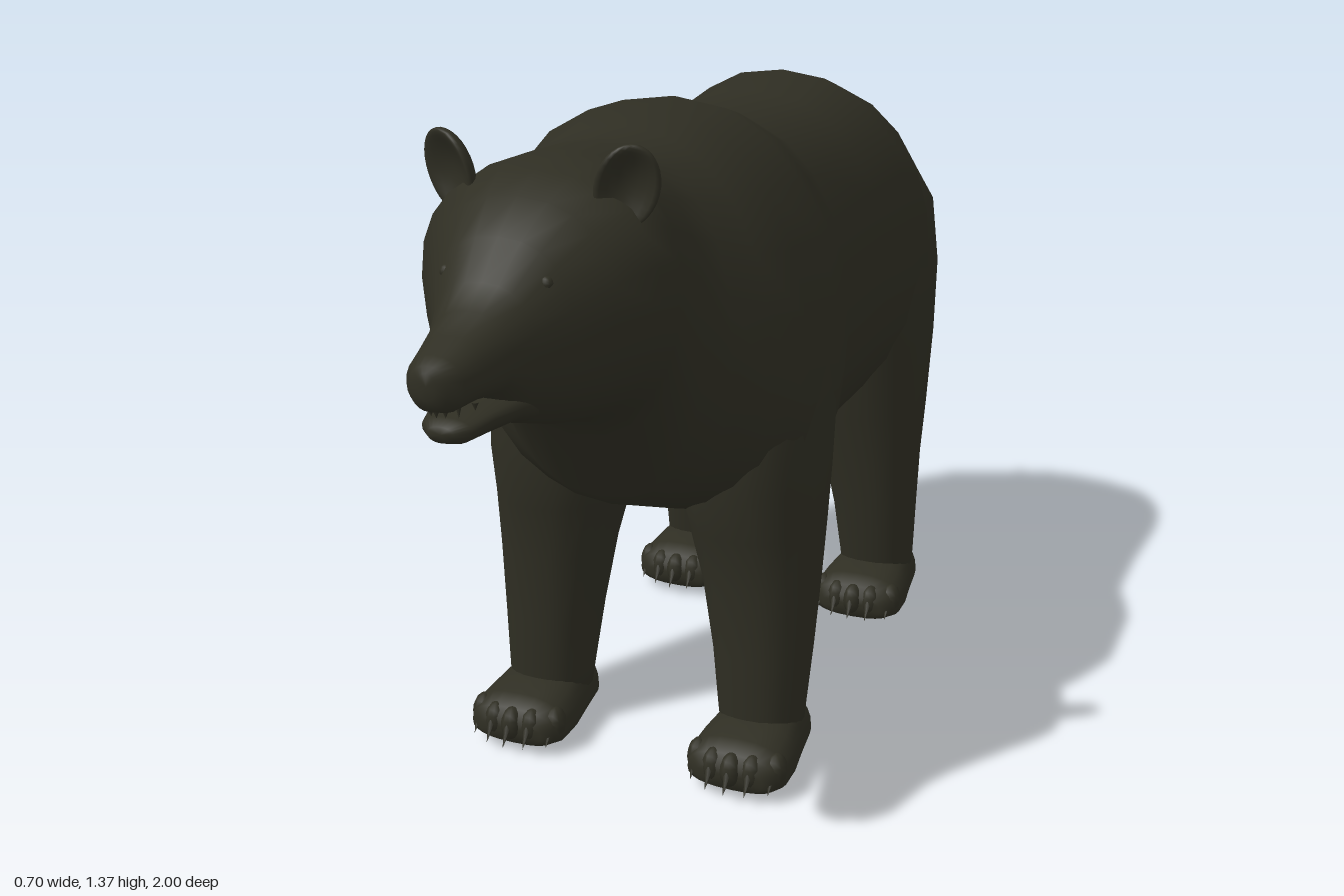
import * as THREE from 'three';

const SIDES = 24;

// Skin closed rings of points, ordered counter-clockwise about the loft direction.
function skin(rings) {
  const n = rings[0].length, pos = [], idx = [];
  rings.forEach(r => r.forEach(p => pos.push(...p)));
  for (let k = 0; k < rings.length - 1; k++) {
    for (let i = 0; i < n; i++) {
      const j = (i + 1) % n, a = k * n, b = a + n;
      idx.push(a + i, a + j, b + j, a + i, b + j, b + i);
    }
  }
  const cap = (ring, base, flip) => {
    const c = [0, 1, 2].map(d => ring.reduce((s, p) => s + p[d], 0) / n);
    const m = pos.length / 3;
    pos.push(...c);
    for (let i = 0; i < n; i++) {
      const j = (i + 1) % n;
      idx.push(m, base + (flip ? j : i), base + (flip ? i : j));
    }
  };
  cap(rings[0], 0, true);
  cap(rings[rings.length - 1], (rings.length - 1) * n, false);
  const g = new THREE.BufferGeometry();
  g.setAttribute('position', new THREE.Float32BufferAttribute(pos, 3));
  g.setIndex(idx);
  g.computeVertexNormals();
  return g;
}

// Unit superellipse points: power 2 is round, higher is boxier.
function unitRing(power) {
  const soft = v => Math.sign(v) * Math.pow(Math.abs(v), 2 / power);
  return Array.from({ length: SIDES }, (_, i) => {
    const t = (i / SIDES) * Math.PI * 2;
    return [soft(Math.cos(t)), soft(Math.sin(t))];
  });
}

// Sections along z: [z, top, bottom, halfWidth, heightOfWidest]
function loftZ(sections, power, cx = 0) {
  return skin(sections.map(([z, top, bot, w, mid]) => unitRing(power).map(([c, s]) =>
    [cx + w * c, mid + s * (s > 0 ? top - mid : mid - bot), z])));
}

// Sections going up y: [y, zFront, zBack, xInner, xOuter]
function loftY(sections, power, side) {
  return skin(sections.map(([y, zf, zb, xi, xo]) => unitRing(power).map(([c, s]) =>
    [side * (xi + xo) / 2 + (xo - xi) / 2 * c, y, (zf + zb) / 2 - (zf - zb) / 2 * s])));
}

export function createModel() {
  const bear = new THREE.Group();
  bear.name = 'bear';
  const fur = new THREE.MeshStandardMaterial({ color: 0x2f2e23 });
  fur.name = 'dark brown fur';
  const add = (name, geometry, parent = bear) => {
    const m = new THREE.Mesh(geometry, fur);
    m.name = name;
    parent.add(m);
    return m;
  };

  // Rump, back, shoulder hump, neck, skull and upper muzzle
  add('body', loftZ([
    [-0.945, 1.0, 0.83, 0.05, 0.92],
    [-0.92, 1.06, 0.70, 0.16, 0.90],
    [-0.86, 1.135, 0.61, 0.25, 0.88],
    [-0.80, 1.20, 0.57, 0.29, 0.86],
    [-0.70, 1.245, 0.53, 0.325, 0.84],
    [-0.60, 1.28, 0.515, 0.318, 0.83],
    [-0.42, 1.265, 0.50, 0.305, 0.84],
    [-0.17, 1.265, 0.505, 0.305, 0.83],
    [-0.06, 1.305, 0.515, 0.335, 0.80],
    [0.02, 1.33, 0.52, 0.35, 0.79],
    [0.18, 1.34, 0.54, 0.345, 0.80],
    [0.27, 1.32, 0.575, 0.30, 0.85],
    [0.33, 1.31, 0.60, 0.245, 0.92],
    [0.39, 1.315, 0.64, 0.215, 0.98],
    [0.48, 1.32, 0.79, 0.213, 1.06],
    [0.54, 1.32, 0.84, 0.23, 1.09],
    [0.61, 1.31, 0.87, 0.228, 1.10],
    [0.68, 1.28, 0.885, 0.18, 1.09],
    [0.75, 1.23, 0.91, 0.135, 1.07],
    [0.81, 1.17, 0.94, 0.098, 1.06],
    [0.86, 1.135, 0.995, 0.078, 1.05],
    [0.92, 1.112, 1.005, 0.064, 1.045],
    [0.97, 1.095, 1.002, 0.052, 1.045],
    [0.992, 1.085, 1.01, 0.034, 1.05],
    [1.0, 1.075, 1.03, 0.016, 1.055],
  ], 2.3));

  // Lower jaw, slightly open
  add('lowerJaw', loftZ([
    [0.72, 1.0, 0.905, 0.09, 0.96],
    [0.82, 0.995, 0.935, 0.075, 0.97],
    [0.89, 0.99, 0.938, 0.06, 0.972],
    [0.94, 0.984, 0.94, 0.046, 0.965],
    [0.962, 0.975, 0.948, 0.024, 0.962],
  ], 2.2));

  // Upper teeth
  for (let i = -3; i <= 3; i++) {
    const tooth = add('tooth', new THREE.ConeGeometry(0.006, Math.abs(i) === 2 ? 0.024 : 0.014, 5));
    tooth.position.set(i * 0.013, 1.0, 0.972 - i * i * 0.006);
    tooth.rotation.x = Math.PI;
  }

  // Tail hanging down the rump
  add('tail', loftZ([
    [-0.997, 0.868, 0.85, 0.014, 0.86],
    [-0.985, 0.935, 0.847, 0.03, 0.88],
    [-0.965, 0.985, 0.855, 0.036, 0.92],
    [-0.945, 1.025, 0.88, 0.036, 0.96],
    [-0.90, 1.06, 0.95, 0.03, 1.0],
  ], 2));

  const frontLeg = [
    [0.03, 0.20, 0.05, 0.16, 0.32],
    [0.12, 0.21, 0.03, 0.15, 0.325],
    [0.25, 0.215, 0.0, 0.135, 0.333],
    [0.40, 0.225, -0.03, 0.11, 0.341],
    [0.52, 0.245, -0.06, 0.08, 0.346],
    [0.62, 0.27, -0.085, 0.06, 0.35],
    [0.80, 0.27, -0.11, 0.08, 0.35],
    [0.95, 0.23, -0.08, 0.12, 0.335],
    [1.05, 0.18, -0.02, 0.16, 0.30],
  ];
  const hindLeg = [
    [0.03, -0.64, -0.785, 0.145, 0.305],
    [0.12, -0.62, -0.797, 0.14, 0.31],
    [0.25, -0.595, -0.802, 0.125, 0.315],
    [0.38, -0.57, -0.812, 0.10, 0.32],
    [0.50, -0.545, -0.85, 0.065, 0.325],
    [0.67, -0.51, -0.91, 0.035, 0.328],
    [0.82, -0.50, -0.925, 0.04, 0.328],
    [0.97, -0.53, -0.90, 0.08, 0.31],
    [1.08, -0.60, -0.83, 0.13, 0.25],
  ];

  // Paw with five toes and claws, centred at cx and shifted along z
  function paw(name, cx, dz) {
    const g = new THREE.Group();
    g.name = name;
    g.position.set(cx, 0, dz);
    bear.add(g);
    add('pad', loftZ([
      [0.035, 0.07, 0.025, 0.05, 0.045],
      [0.06, 0.12, 0.01, 0.082, 0.045],
      [0.14, 0.135, 0.003, 0.092, 0.045],
      [0.21, 0.12, 0.002, 0.103, 0.045],
      [0.27, 0.112, 0.006, 0.105, 0.045],
      [0.305, 0.095, 0.015, 0.094, 0.05],
      [0.32, 0.075, 0.025, 0.07, 0.05],
    ], 2.6), g);
    for (let i = -2; i <= 2; i++) {
      const z = 0.306 - i * i * 0.008;
      const toe = add('toe', new THREE.SphereGeometry(0.027, 10, 8), g);
      toe.scale.set(0.85, 1.35, 1.1);
      toe.position.set(i * 0.041, 0.062, z);
      const claw = add('claw', new THREE.ConeGeometry(0.009, 0.045, 6), g);
      claw.position.set(i * 0.041, 0.046, z + 0.034);
      claw.rotation.x = 2.5;
    }
  }

  for (const side of [1, -1]) {
    const label = side > 0 ? 'left' : 'right';
    add(label + 'FrontLeg', loftY(frontLeg, 2.3, side));
    add(label + 'HindLeg', loftY(hindLeg, 2.3, side));
    paw(label + 'FrontPaw', side * 0.242, 0);
    paw(label + 'HindPaw', side * 0.225, -0.835);

    // Rounded ear, hollowed at the front
    const earShape = new THREE.SphereGeometry(1, 20, 16);
    const p = earShape.attributes.position;
    for (let i = 0; i < p.count; i++) {
      const r2 = p.getX(i) ** 2 + p.getY(i) ** 2;
      if (p.getZ(i) > 0) p.setZ(i, p.getZ(i) - 1.4 * (1 - r2));
    }
    earShape.scale(0.055, 0.075, 0.032);
    earShape.computeVertexNormals();
    const ear = add(label + 'Ear', earShape);
    ear.position.set(side * 0.165, 1.295, 0.61);
    ear.rotation.set(0.15, side * 0.35, -side * 0.3);

    // Small eye set in the brow
    const eye = add(label + 'Eye', new THREE.SphereGeometry(0.013, 10, 8));
    eye.position.set(side * 0.09, 1.165, 0.762);
  }
  return bear;
}
